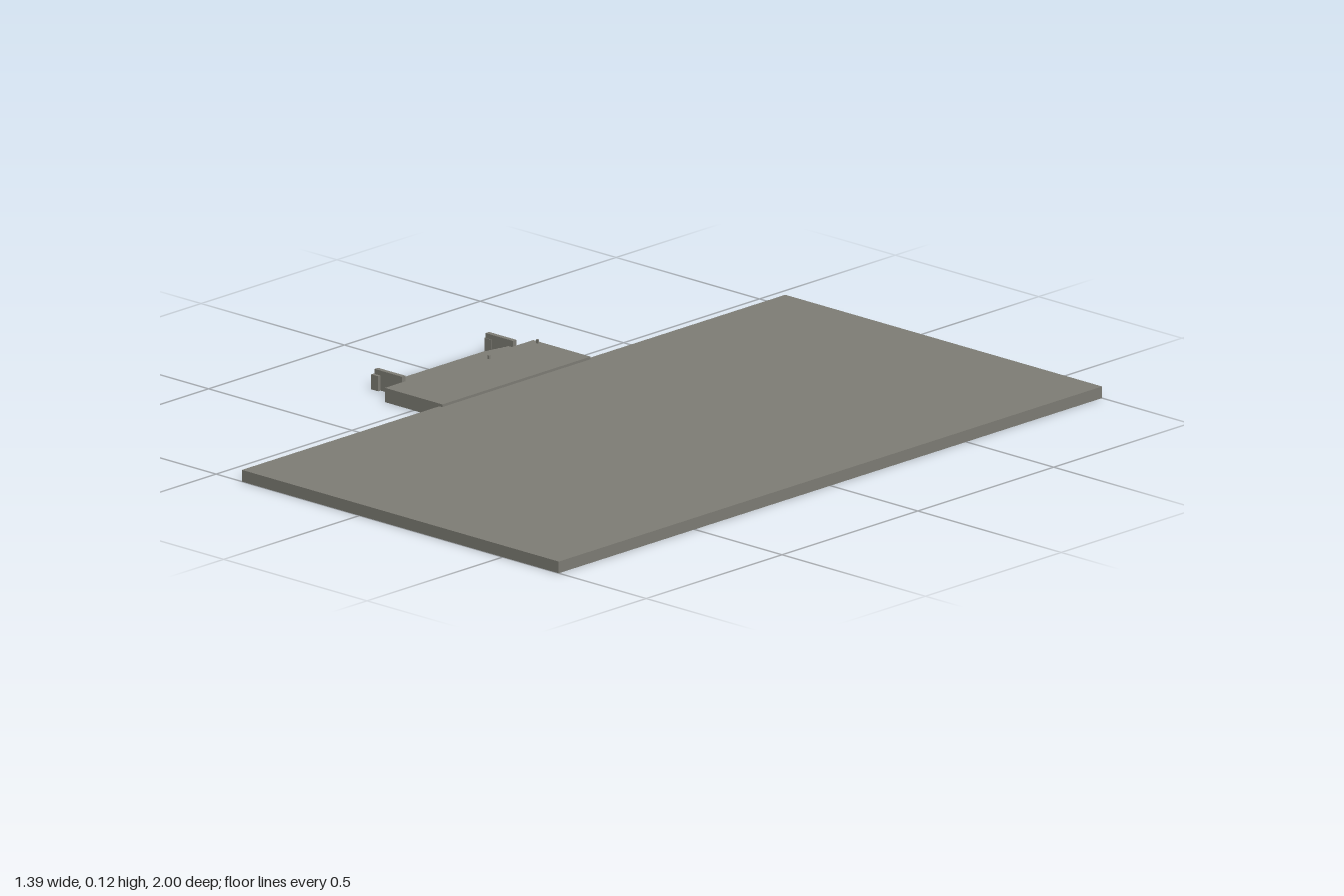
import * as THREE from 'three';

export function createModel() {
  const model = new THREE.Group();
  const stone = new THREE.MeshStandardMaterial({ color: 0x7f7e76 });
  stone.name = 'grey stone';

  // Box given by its lower and upper corners
  const block = (name, x0, x1, y0, y1, z0, z1) => {
    const mesh = new THREE.Mesh(new THREE.BoxGeometry(x1 - x0, y1 - y0, z1 - z0), stone);
    mesh.position.set((x0 + x1) / 2, (y0 + y1) / 2, (z0 + z1) / 2);
    mesh.name = name;
    model.add(mesh);
  };

  // Main platform and the landing in front of the entrance
  block('platform', -0.41, 0.695, 0, 0.031, -1, 1);
  block('landing', -0.6, -0.4, 0, 0.038, -0.273, 0.273);

  // Stair flight as one stepped profile
  const steps = 6, x0 = -0.695, x1 = -0.6, top = 0.036;
  const profile = new THREE.Shape();
  profile.moveTo(x0, 0);
  for (let i = 0; i < steps; i++) {
    const y = top * (i + 1) / steps;
    profile.lineTo(x0 + (x1 - x0) * i / steps, y);
    profile.lineTo(x0 + (x1 - x0) * (i + 1) / steps, y);
  }
  profile.lineTo(x1, 0);
  profile.closePath();
  const stairGeometry = new THREE.ExtrudeGeometry(profile, { depth: 0.4, bevelEnabled: false });
  const stairs = new THREE.Mesh(stairGeometry, stone);
  stairs.position.z = -0.2;
  stairs.name = 'stairs';
  model.add(stairs);

  for (const side of [-1, 1]) {
    const mirrored = (name, xa, xb, ya, yb, za, zb) =>
      block(name, xa, xb, ya, yb, Math.min(side * za, side * zb), Math.max(side * za, side * zb));
    // Cheek wall beside the stairs with a wider end post
    mirrored('cheekWall', -0.695, -0.6, 0, 0.053, 0.198, 0.211);
    mirrored('endPost', -0.698, -0.674, 0, 0.04, 0.196, 0.22);
    // Small door handles above the landing edge
    mirrored('doorHandle', -0.414, -0.408, 0.114, 0.124, 0.087, 0.092);
  }
  return model;
}
